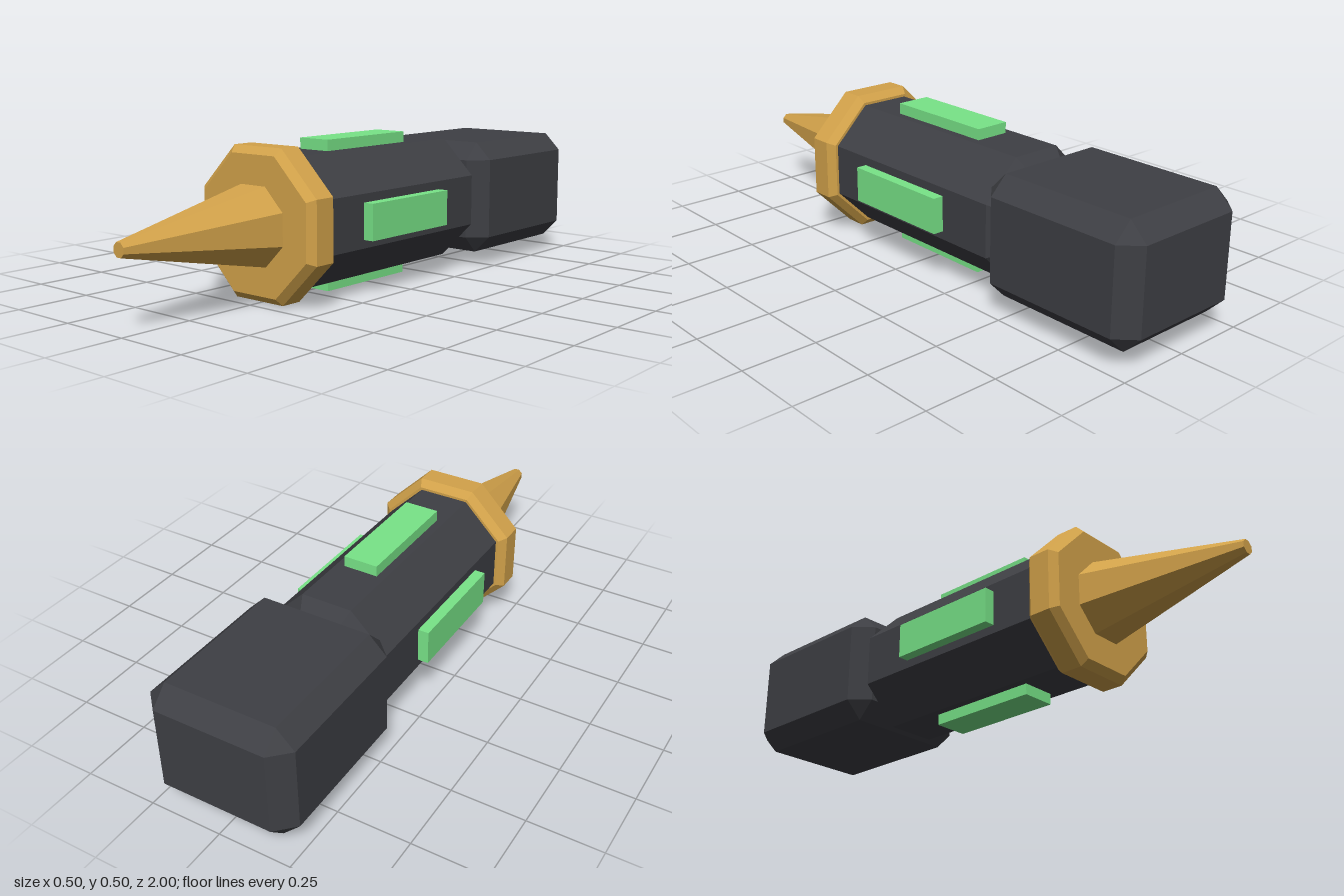
import * as THREE from 'three';
import { ConvexGeometry } from 'three/addons/geometries/ConvexGeometry.js';

const material = (color) => new THREE.MeshStandardMaterial({ color, flatShading: true });

// Octagonal solid along z from [half width across flats, z] pairs, listed back to front
function octagon(name, profile, mat) {
  const k = 1 / Math.cos(Math.PI / 8);
  const points = profile.map(([r, z]) => new THREE.Vector2(r * k, z));
  const geometry = new THREE.LatheGeometry(points, 8, Math.PI / 8).rotateX(Math.PI / 2);
  const mesh = new THREE.Mesh(geometry, mat);
  mesh.name = name;
  return mesh;
}

// Box with every edge and corner cut at 45 degrees
function chamferedBox(w, h, d, c) {
  const points = [];
  for (const sx of [-1, 1]) for (const sy of [-1, 1]) for (const sz of [-1, 1]) {
    for (let axis = 0; axis < 3; axis++) {
      const inset = [0, 1, 2].map((i) => (i === axis ? 0 : c));
      points.push(new THREE.Vector3(
        sx * (w / 2 - inset[0]), sy * (h / 2 - inset[1]), sz * (d / 2 - inset[2])));
    }
  }
  return new ConvexGeometry(points);
}

export function createModel() {
  const model = new THREE.Group();
  model.name = 'spikedTool';
  const dark = material(0x3e3f44);
  const gold = material(0xd2a24a);
  const green = material(0x78e488);

  const tool = new THREE.Group();
  tool.name = 'tool';
  tool.position.y = 0.25;
  model.add(tool);

  // Barrel, bevelled where it enters the rear block
  tool.add(octagon('barrel', [[0, -0.46], [0.153, -0.46], [0.213, -0.4], [0.213, 0.37], [0, 0.37]], dark));

  // Bevelled collar and tapered spike
  tool.add(octagon('collar',
    [[0, 0.36], [0.222, 0.36], [0.245, 0.383], [0.245, 0.457], [0.222, 0.48], [0, 0.48]], gold));
  tool.add(octagon('spike', [[0, 0.47], [0.128, 0.47], [0.022, 1], [0, 1]], gold));

  // Rear block
  const block = new THREE.Mesh(chamferedBox(0.5, 0.4, 0.6, 0.06), dark);
  block.name = 'rearBlock';
  block.position.z = -0.7;
  tool.add(block);

  // Four raised pads around the barrel
  for (let i = 0; i < 4; i++) {
    const pad = new THREE.Mesh(new THREE.BoxGeometry(0.12, 0.06, 0.4).translate(0, 0.22, 0), green);
    pad.name = 'glowPad' + (i + 1);
    pad.rotation.z = (i * Math.PI) / 2;
    tool.add(pad);
  }
  return model;
}
